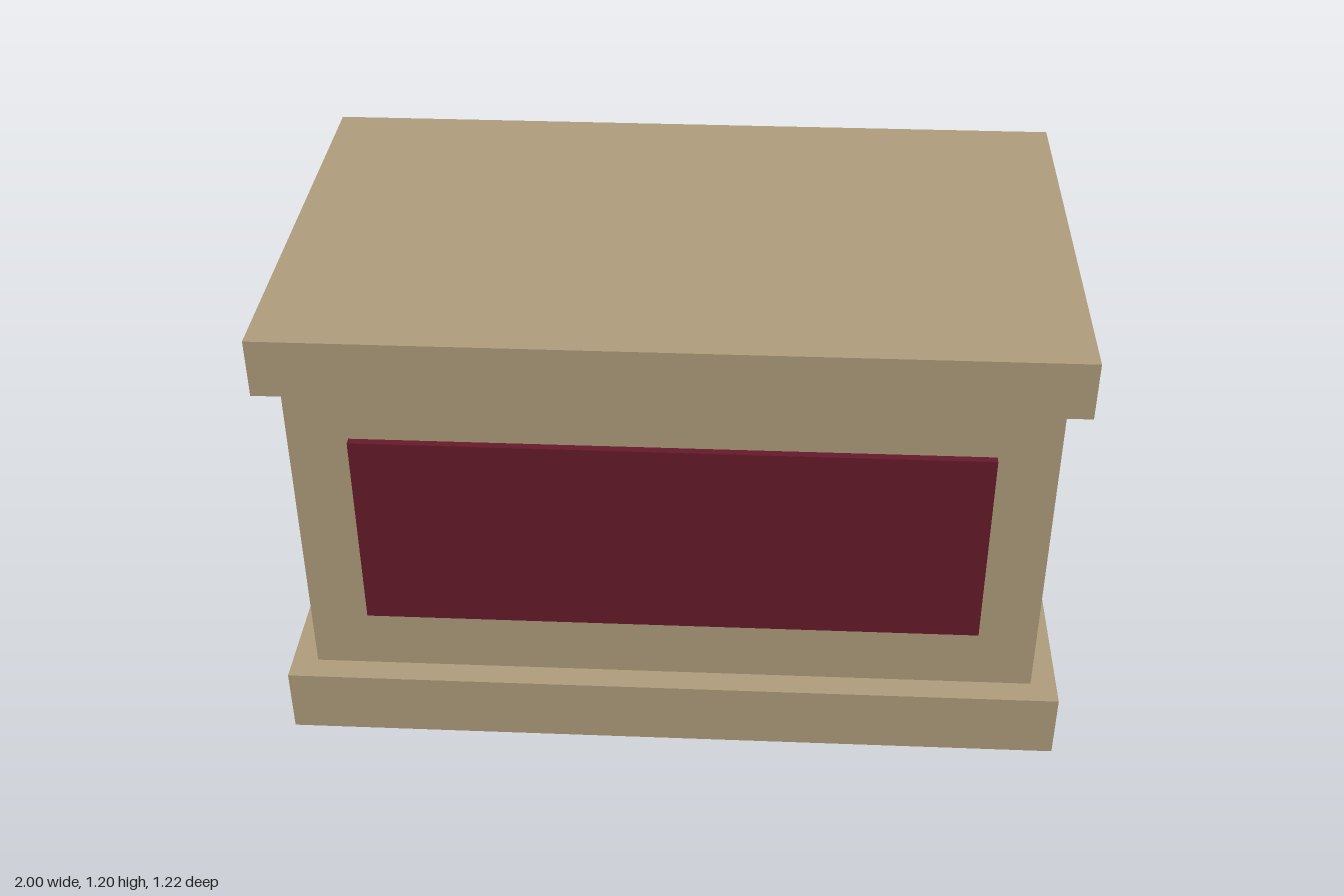
import * as THREE from 'three';

export function createModel() {
  const model = new THREE.Group();
  model.name = 'pedestal';
  const stone = new THREE.MeshStandardMaterial({ color: 0xb09d7c });
  const wine = new THREE.MeshStandardMaterial({ color: 0x661a2a });

  // Box given by its width, depth, bottom and top heights, and centre
  const block = (name, material, w, d, y0, y1, x = 0, z = 0) => {
    const mesh = new THREE.Mesh(new THREE.BoxGeometry(w, y1 - y0, d), material);
    mesh.name = name;
    mesh.position.set(x, (y0 + y1) / 2, z);
    model.add(mesh);
  };

  const bodyW = 1.868, bodyD = 1.086;
  block('base', stone, 2, 1.216, 0, 0.175);
  block('body', stone, bodyW, bodyD, 0.175, 1.047);
  block('topSlab', stone, 1.976, 1.197, 1.047, 1.198, -0.002);

  // Raised panels on all four sides, half sunk into the body
  const t = 0.04;
  for (const s of [1, -1]) {
    block(s > 0 ? 'frontPanel' : 'backPanel', wine, 1.566, t, 0.35, 0.892, 0, s * bodyD / 2);
    block(s > 0 ? 'leftPanel' : 'rightPanel', wine, t, 0.786, 0.35, 0.892, s * bodyW / 2, 0);
  }
  return model;
}
